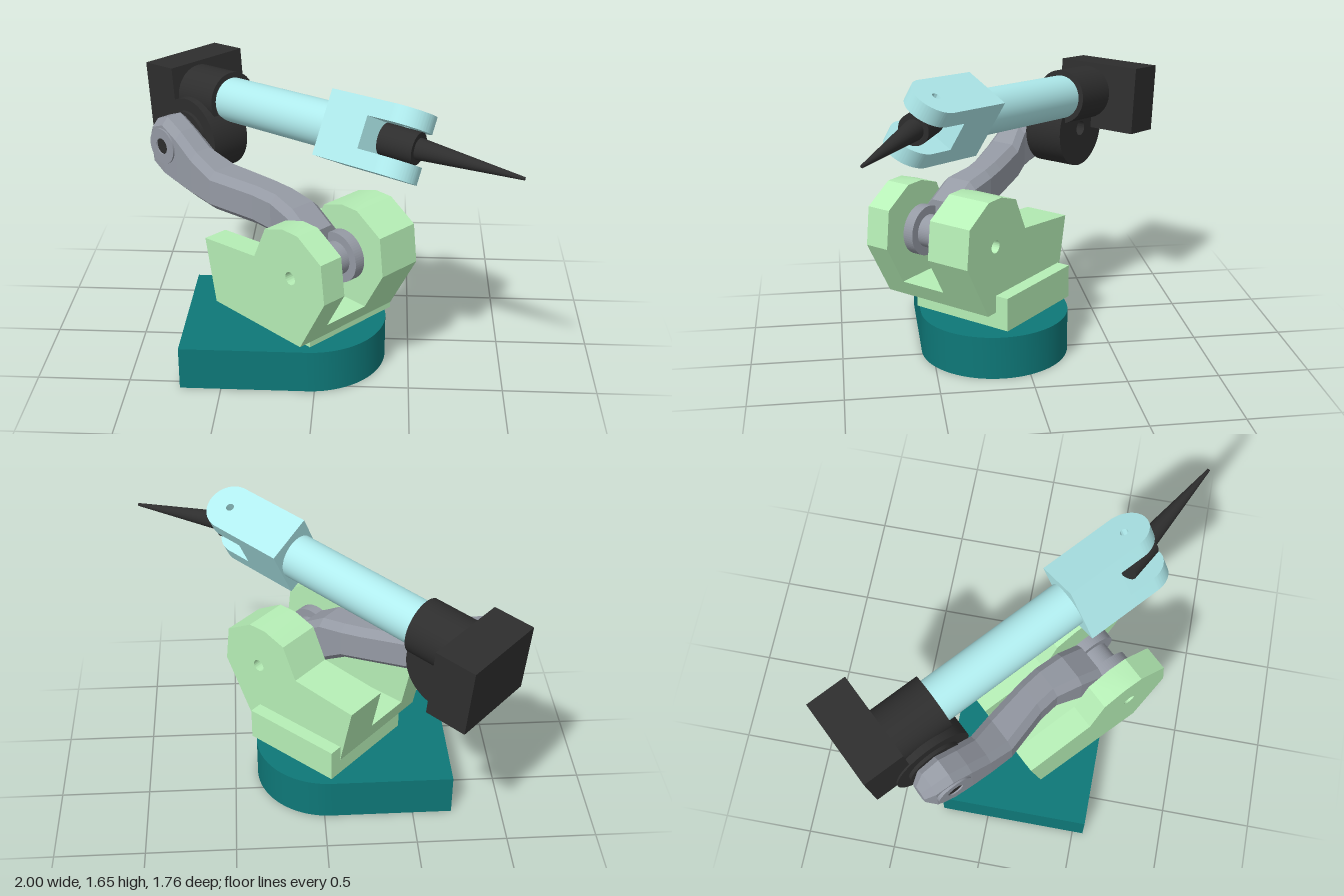
import * as THREE from 'three';
import { toCreasedNormals } from 'three/addons/utils/BufferGeometryUtils.js';

const mat = (color, flatShading = false) => new THREE.MeshStandardMaterial({ color, flatShading });
const TEAL = mat(0x0e7878), GREEN = mat(0xb6efb6), CYAN = mat(0xb0ecee);
const BLACK = mat(0x2e2e2e), GREY = mat(0x959aa4, true);
const rad = THREE.MathUtils.degToRad;

function add(parent, name, geometry, material, x = 0, y = 0, z = 0) {
  const mesh = new THREE.Mesh(geometry, material);
  mesh.name = name;
  mesh.position.set(x, y, z);
  parent.add(mesh);
  return mesh;
}

function group(parent, name, x = 0, y = 0, z = 0) {
  const g = new THREE.Group();
  g.name = name;
  g.position.set(x, y, z);
  parent.add(g);
  return g;
}

const polygon = (points) => new THREE.Shape(points.map(([x, y]) => new THREE.Vector2(x, y)));
const disc = (x, y, r) => new THREE.Shape().absarc(x, y, r, 0, Math.PI * 2, false);

function drill(shape, x, y, r) {
  shape.holes.push(new THREE.Path().absarc(x, y, r, 0, Math.PI * 2, true));
  return shape;
}

// Slab of a side profile between two z values
function slab(shape, z0, z1) {
  const g = new THREE.ExtrudeGeometry(shape, { depth: z1 - z0, bevelEnabled: false, curveSegments: 32 });
  return toCreasedNormals(g.translate(0, 0, z0), 0.5);
}

// Slab of a plan outline (x, z) between two heights
function plate(shape, y0, y1) {
  const g = new THREE.ExtrudeGeometry(shape, { depth: y1 - y0, bevelEnabled: false, curveSegments: 32 });
  return toCreasedNormals(g.rotateX(Math.PI / 2).translate(0, y1, 0), 0.5);
}

// Cylinder along x from x0 to x1
function rod(r0, r1, x0, x1, sides = 40) {
  return new THREE.CylinderGeometry(r1, r0, x1 - x0, sides).rotateZ(-Math.PI / 2).translate((x0 + x1) / 2, 0, 0);
}

// Chamfered rectangular sections [x, bottom, top, zFar, zNear] skinned along x
function loft(stations) {
  const pos = [], idx = [], n = 8;
  for (const [x, b, t, f, k] of stations) {
    const c = Math.min(0.04, (t - b) * 0.3, (k - f) * 0.3);
    const ring = [[t, f + c], [t, k - c], [t - c, k], [b + c, k], [b, k - c], [b, f + c], [b + c, f], [t - c, f]];
    for (const [y, z] of ring) pos.push(x, y, z);
  }
  const last = (stations.length - 1) * n;
  for (let i = 0; i < last; i += n) {
    for (let j = 0; j < n; j++) {
      const a = i + j, b = i + (j + 1) % n;
      idx.push(a, b, b + n, a, b + n, a + n);
    }
  }
  for (let j = 1; j < n - 1; j++) idx.push(0, j + 1, j, last, last + j, last + j + 1);
  const g = new THREE.BufferGeometry();
  g.setAttribute('position', new THREE.Float32BufferAttribute(pos, 3));
  g.setIndex(idx);
  g.computeVertexNormals();
  return g;
}

export function createModel() {
  const model = new THREE.Group();
  model.name = 'robotArm';

  // Base: rectangle with one half-round end
  const foot = new THREE.Shape();
  foot.moveTo(-0.72, -0.26);
  foot.lineTo(-0.04, -0.26);
  foot.absarc(-0.04, 0.15, 0.41, -Math.PI / 2, Math.PI / 2, false);
  foot.lineTo(-0.72, 0.56);
  add(model, 'base', plate(foot, 0, 0.24), TEAL);

  // Everything above the base turns together; local +x points along the arm
  const turret = group(model, 'turret', -0.04, 0, 0.15);
  turret.rotation.y = rad(-43);
  add(turret, 'neck', new THREE.CylinderGeometry(0.225, 0.225, 0.07, 48), GREEN, 0, 0.26, 0);
  add(turret, 'turntable', new THREE.BoxGeometry(0.59, 0.185, 0.61), GREEN, 0.01, 0.3775, -0.005);

  // Shoulder bracket: two cheeks joined by a floor
  const cheek = () => drill(polygon([
    [-0.285, 0.375], [0.375, 0.375], [0.55, 0.69], [0.525, 0.9], [0.36, 1],
    [0.25, 1], [0.12, 0.955], [0.035, 0.77], [-0.36, 0.73],
  ]), 0.305, 0.745, 0.035);
  add(turret, 'shoulderCheekNear', slab(cheek(), 0.295, 0.435), GREEN);
  add(turret, 'shoulderCheekFar', slab(cheek(), -0.235, 0.02), GREEN);
  const floor = polygon([[-0.285, 0.375], [0.375, 0.375], [0.428, 0.47], [-0.305, 0.47]]);
  add(turret, 'shoulderFloor', slab(floor, 0.02, 0.295), GREEN);

  // Lower link, bending sideways on its way to the elbow
  const link = group(turret, 'lowerLink');
  add(link, 'linkBody', loft([
    [-0.945, 1.05, 1.16, 0.22, 0.32],
    [-0.89, 0.95, 1.23, 0.19, 0.35],
    [-0.79, 0.91, 1.27, 0.19, 0.36],
    [-0.68, 0.89, 1.215, 0.19, 0.36],
    [-0.56, 0.865, 1.13, 0.18, 0.355],
    [-0.42, 0.84, 1.06, 0.13, 0.345],
    [-0.17, 0.81, 1.03, 0.07, 0.265],
    [-0.05, 0.79, 1.015, 0.05, 0.245],
    [0.1, 0.7, 0.99, 0.045, 0.265],
    [0.24, 0.63, 0.9, 0.045, 0.27],
  ]), GREY);
  for (const [z0, z1, r] of [[0.045, 0.105, 0.137], [0.105, 0.21, 0.09], [0.21, 0.27, 0.137]]) {
    add(link, 'linkKnuckle', slab(drill(disc(0.305, 0.745, r), 0.305, 0.745, 0.035), z0, z1), GREY);
  }
  add(link, 'elbowBoss', slab(drill(disc(-0.79, 1.11, 0.1), -0.79, 1.11, 0.045), 0.35, 0.37), GREY);
  add(link, 'elbowPin', slab(disc(-0.79, 1.11, 0.045), 0.17, 0.362), BLACK);

  // Elbow drum
  add(turret, 'elbowDrum', slab(drill(disc(-0.79, 1.11, 0.22), -0.79, 1.11, 0.042), -0.056, 0.176), BLACK);
  add(turret, 'elbowStep', slab(disc(-0.79, 1.11, 0.15), 0.17, 0.195), BLACK);

  // Forearm, pitched slightly upward; its origin is the back of the wrist fork
  const forearm = group(turret, 'forearm', 0.196, 1.4, -0.016);
  forearm.rotation.z = rad(5.3);
  add(forearm, 'motorBox', new THREE.BoxGeometry(0.232, 0.38, 0.5), BLACK, -1.236, -0.016, -0.068);
  add(forearm, 'motorBarrel', rod(0.152, 0.152, -1.13, -0.835), BLACK);
  add(forearm, 'forearmTube', rod(0.122, 0.122, -0.84, 0.02), CYAN);

  // Wrist fork, rolled about the forearm
  const wrist = group(forearm, 'wrist');
  wrist.rotation.x = rad(-29);
  add(wrist, 'forkBlock', new THREE.BoxGeometry(0.28, 0.345, 0.267), CYAN, 0.14, 0, 0);
  for (const s of [1, -1]) {
    const prong = new THREE.Shape();
    prong.moveTo(0.28, -0.1335);
    prong.lineTo(0.42, -0.1335);
    prong.absarc(0.42, 0, 0.1335, -Math.PI / 2, Math.PI / 2, false);
    prong.lineTo(0.28, 0.1335);
    drill(prong, 0.42, 0, 0.022);
    const mid = s * 0.128;
    add(wrist, 'forkProng', plate(prong, mid - 0.0445, mid + 0.0445), CYAN);
  }

  // Pointed tool swivelling between the prongs
  const tool = group(wrist, 'tool', 0.42, 0, 0);
  tool.rotation.y = rad(16.6);
  add(tool, 'toolHolder', rod(0.082, 0.082, -0.09, 0.1, 32), BLACK);
  add(tool, 'toolPoint', rod(0.055, 0.008, 0.1, 0.652, 24), BLACK);

  return model;
}
